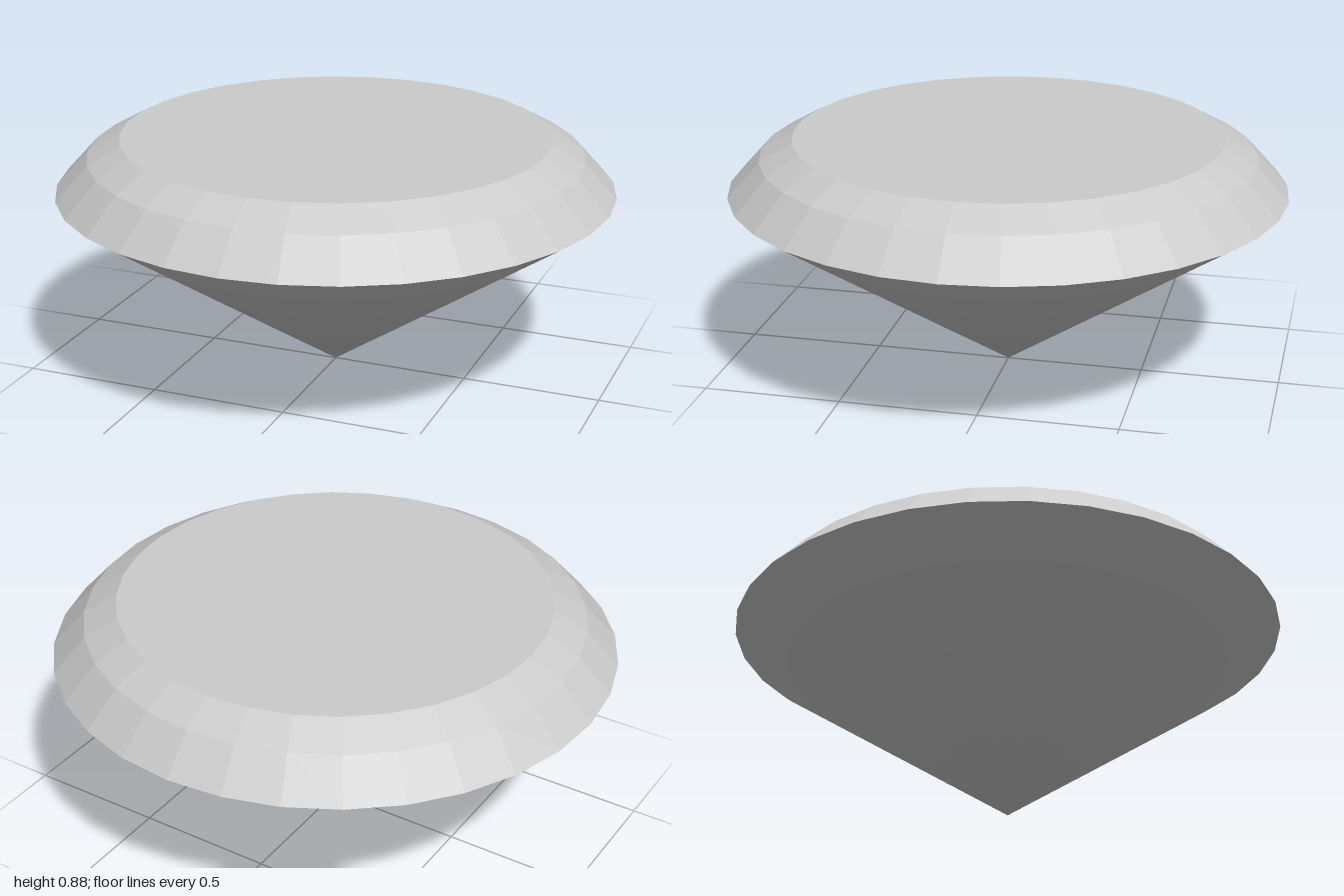
import * as THREE from 'three';
import { mergeVertices } from 'three/addons/utils/BufferGeometryUtils.js';

const SIDES = 32;
const GIRDLE_Y = 0.685, TABLE_Y = 0.875, TABLE_R = 0.768;

// Revolve a profile of [radius, height] pairs, listed bottom to top
function revolve(points) {
  return new THREE.LatheGeometry(points.map(([r, y]) => new THREE.Vector2(r, y)), SIDES);
}

export function createModel() {
  const gem = new THREE.Group();
  gem.name = 'gem';
  const smooth = new THREE.MeshStandardMaterial({ color: 0xcccccc });
  const faceted = new THREE.MeshStandardMaterial({ color: 0xcccccc, flatShading: true });

  const add = (name, geometry, material) => {
    const mesh = new THREE.Mesh(geometry, material);
    mesh.name = name;
    gem.add(mesh);
    return mesh;
  };

  // Pavilion: smooth lower cone whose tip is one shared vertex
  let cone = revolve([[0, 0], [1, GIRDLE_Y]]);
  cone.deleteAttribute('normal');
  cone.deleteAttribute('uv');
  cone = mergeVertices(cone, 1e-4);
  cone.computeVertexNormals();
  add('pavilion', cone, smooth);

  // Crown: two rings of flat facets above the girdle
  add('lowerCrown', revolve([[1, GIRDLE_Y], [0.885, 0.81]]), faceted);
  add('upperCrown', revolve([[0.885, 0.81], [TABLE_R, TABLE_Y]]), faceted);

  // Table: flat top
  const table = add('table', new THREE.CircleGeometry(TABLE_R, SIDES).rotateX(-Math.PI / 2), faceted);
  table.position.y = TABLE_Y;

  return gem;
}
